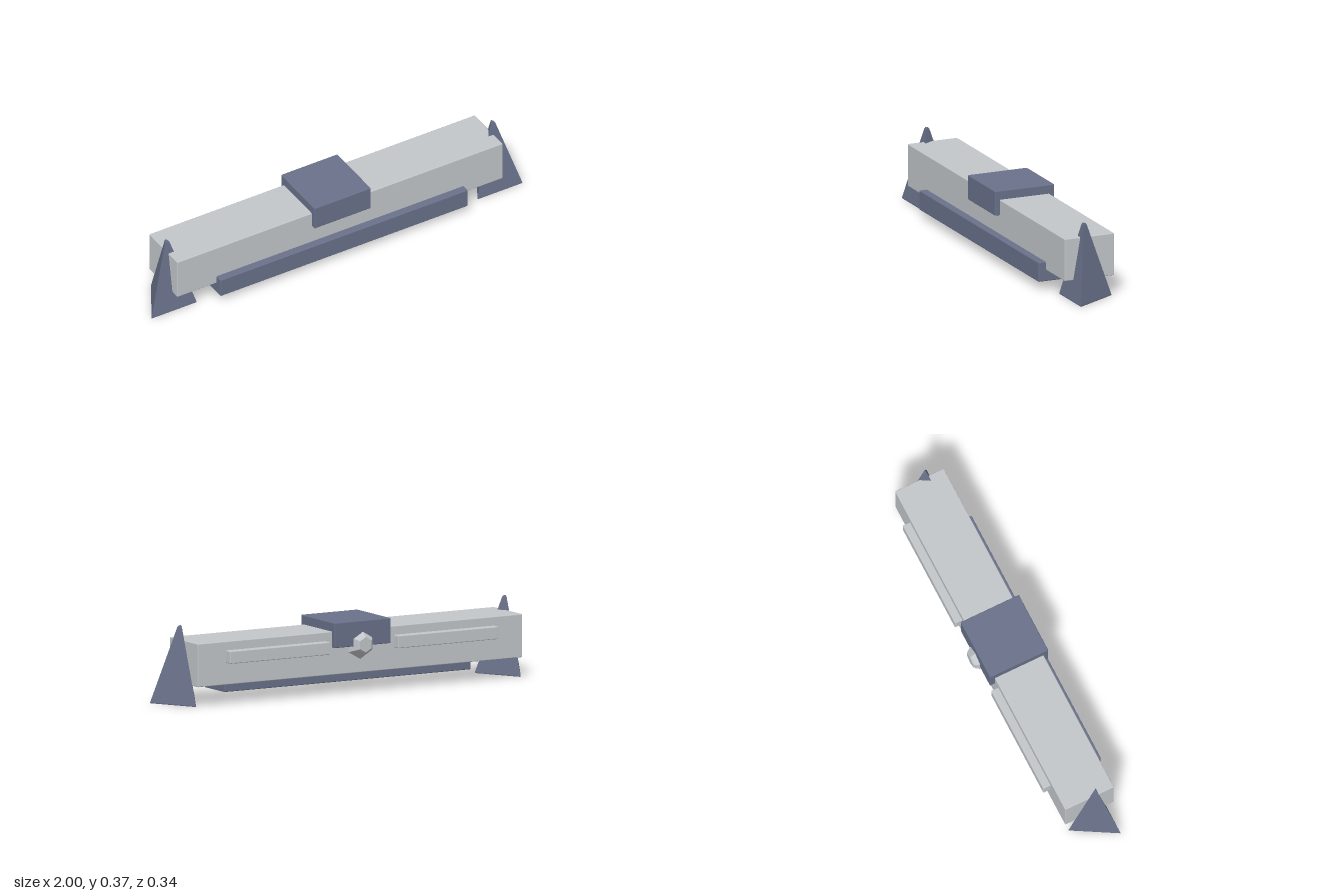
import * as THREE from 'three';
import { RoundedBoxGeometry } from 'three/addons/geometries/RoundedBoxGeometry.js';

const lightGrey = new THREE.MeshStandardMaterial({ color: 0xc2c6ca, flatShading: true });
lightGrey.name = 'lightGrey';
const slateBlue = new THREE.MeshStandardMaterial({ color: 0x69718a, flatShading: true });
slateBlue.name = 'slateBlue';

export function createModel() {
  const model = new THREE.Group();
  model.name = 'beamDevice';

  function add(name, geometry, material) {
    const mesh = new THREE.Mesh(geometry, material);
    mesh.name = name;
    model.add(mesh);
    return mesh;
  }

  // Box with softened edges, given by its extents on each axis
  function box(name, [x0, x1], [y0, y1], [z0, z1], material) {
    const geometry = new RoundedBoxGeometry(x1 - x0, y1 - y0, z1 - z0, 2, 0.004);
    geometry.translate((x0 + x1) / 2, (y0 + y1) / 2, (z0 + z1) / 2);
    return add(name, geometry, material);
  }

  // Main beam, the saddle over its middle and the bar under its front edge
  box('beam', [-0.877, 0.877], [0.094, 0.297], [-0.118, 0.134], lightGrey);
  box('saddle', [-0.152, 0.152], [0.222, 0.34], [-0.143, 0.158], slateBlue);
  box('lowerBar', [-0.666, 0.666], [0.04, 0.133], [-0.008, 0.171], slateBlue);

  for (const side of [-1, 1]) {
    const label = side > 0 ? 'left' : 'right';

    // Long strips on the back
    const xs = [side * 0.185, side * 0.725].sort((a, b) => a - b);
    box(label + 'BackStrip', xs, [0.196, 0.255], [-0.155, -0.1], lightGrey);

    // Three-sided pyramid feet with blunted tips
    const profile = [[0, 0], [0.138, 0], [0.14, 0.004], [0.014, 0.356], [0.008, 0.364], [0, 0.365]];
    const foot = new THREE.LatheGeometry(profile.map(p => new THREE.Vector2(...p)), 3);
    foot.rotateY(Math.PI);
    foot.translate(side * 0.878, 0, 0.037);
    add(label + 'Foot', foot, slateBlue);
  }

  // Faceted knob on the back, below the saddle
  const knobProfile = [[0.078, 0], [0.046, 0.051], [0.036, 0.06], [0, 0.06]];
  const knob = new THREE.LatheGeometry(knobProfile.map(p => new THREE.Vector2(...p)), 6);
  knob.rotateX(-Math.PI / 2);
  knob.translate(0, 0.23, -0.11);
  add('backKnob', knob, lightGrey);

  return model;
}
